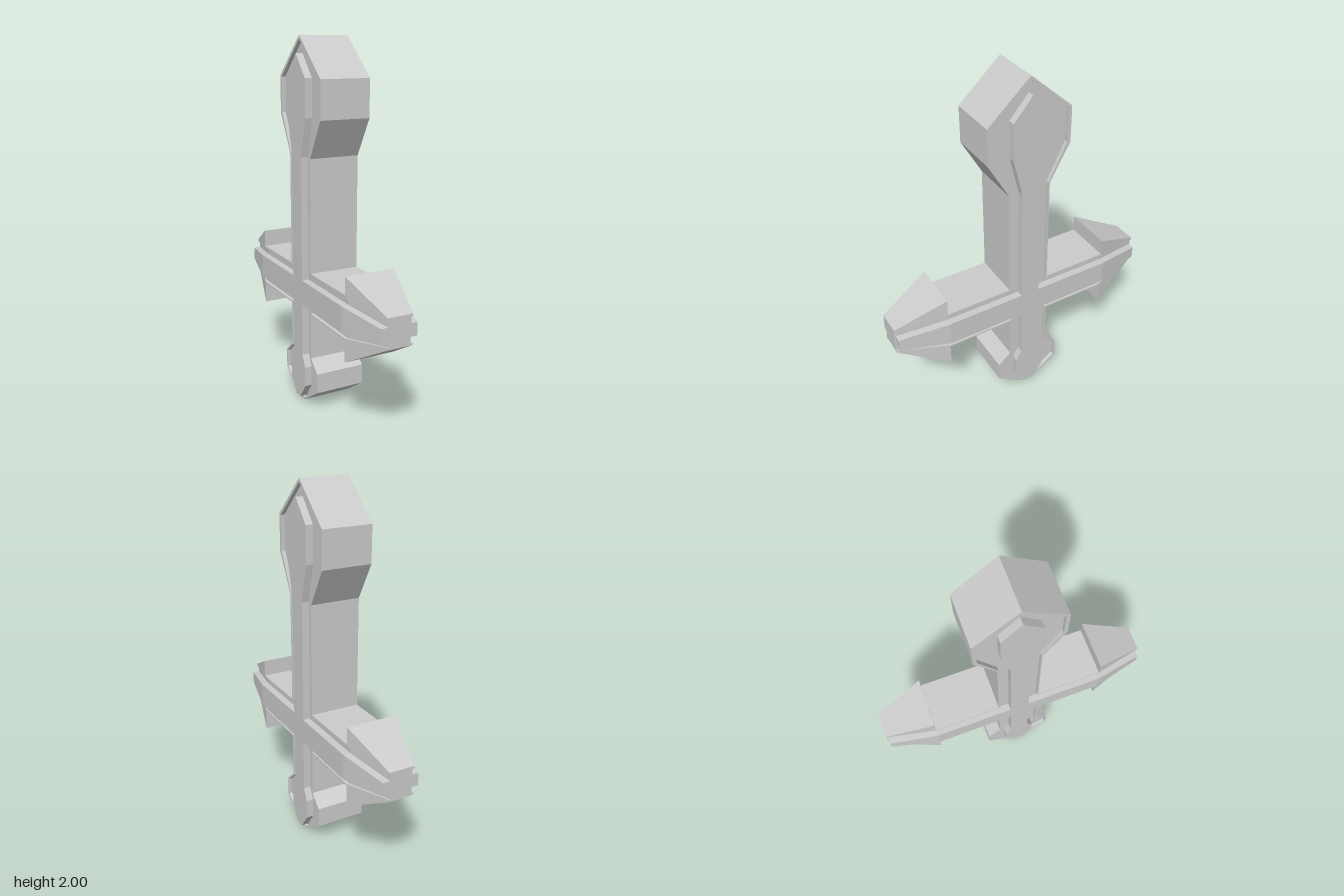
import * as THREE from 'three';

const ARM = 0.495, TIP = 0.775;
const material = new THREE.MeshStandardMaterial({ color: 0xcccccc, flatShading: true });

// Half outlines as [z, y]: upper ones run from arm end to top, lower ones from bottom to arm end
const upperOuter = [[ARM, 0.77], [0.12, 0.77], [0.12, 1.385], [0.235, 1.59], [0.235, 1.79], [0, 2]];
const upperInner = [[ARM, 0.762], [0.112, 0.762], [0.112, 1.39], [0.215, 1.595], [0.215, 1.785], [0, 1.98]];
const upperRidge = [[ARM, 0.717], [0.055, 0.717], [0.055, 1.385], [0.105, 1.59], [0.105, 1.79], [0, 1.91]];
const lowerOuter = [[0.035, 0], [0.195, 0.11], [0.195, 0.22], [0.12, 0.285], [0.12, 0.535], [ARM, 0.535]];
const lowerInner = [[0.03, 0.012], [0.185, 0.115], [0.185, 0.215], [0.112, 0.28], [0.112, 0.543], [ARM, 0.543]];
const lowerRidge = [[0.025, 0.02], [0.088, 0.11], [0.088, 0.22], [0.055, 0.285], [0.055, 0.578], [ARM, 0.578]];

const flip = pts => pts.map(([z, y]) => [-z, y]).reverse();
const span = half => [...half, ...flip(half)];
const cross = (upper, lower) => [...lower, ...upper, ...flip(upper), ...flip(lower)];

// Side profile extruded across x; from the arm end outward the thickness narrows to endHalf
function slab(name, pts, half, endHalf = half) {
  const shape = new THREE.Shape(pts.map(([z, y]) => new THREE.Vector2(z, y)));
  const geo = new THREE.ExtrudeGeometry(shape, { depth: 2 * half, bevelEnabled: false });
  geo.translate(0, 0, -half);
  const p = geo.attributes.position;
  for (let i = 0; i < p.count; i++) {
    const t = Math.max(0, (p.getX(i) - ARM) / (TIP - ARM));
    p.setZ(i, p.getZ(i) * (1 + t * (endHalf / half - 1)));
  }
  geo.rotateY(-Math.PI / 2);
  geo.computeVertexNormals();
  const mesh = new THREE.Mesh(geo, material);
  mesh.name = name;
  return mesh;
}

// Pointed, barbed end of one arm
function armTip(name) {
  const tip = new THREE.Group();
  tip.name = name;
  tip.add(
    slab('upperBarb', [[ARM, 0.762], [TIP, 0.722], [TIP, 0.735], [ARM, 0.865]], 0.14, 0.07),
    slab('lowerBarb', [[ARM, 0.415], [TIP, 0.575], [TIP, 0.588], [ARM, 0.543]], 0.14, 0.07),
    slab('tipPanel', [[ARM, 0.543], [TIP, 0.588], [TIP, 0.722], [ARM, 0.762]], 0.12, 0.06),
    slab('tipRidge', [[ARM, 0.578], [0.768, 0.615], [0.768, 0.685], [ARM, 0.717]], 0.16, 0.10),
  );
  return tip;
}

export function createModel() {
  const model = new THREE.Group();
  model.name = 'barbedCross';

  // Recessed core, raised border strips and raised central ridge
  model.add(
    slab('corePanel', cross(upperInner, lowerInner), 0.12),
    slab('upperRim', [...span(upperOuter), ...span(upperInner).reverse()], 0.14),
    slab('lowerRim', [...flip(lowerOuter), ...lowerOuter, ...flip(lowerInner).concat(lowerInner).reverse()], 0.14),
    slab('ridge', cross(upperRidge, lowerRidge), 0.16),
  );

  // One tip at each end of the arms
  const front = armTip('frontArmTip');
  const back = armTip('backArmTip');
  back.rotation.y = Math.PI;
  model.add(front, back);
  return model;
}
